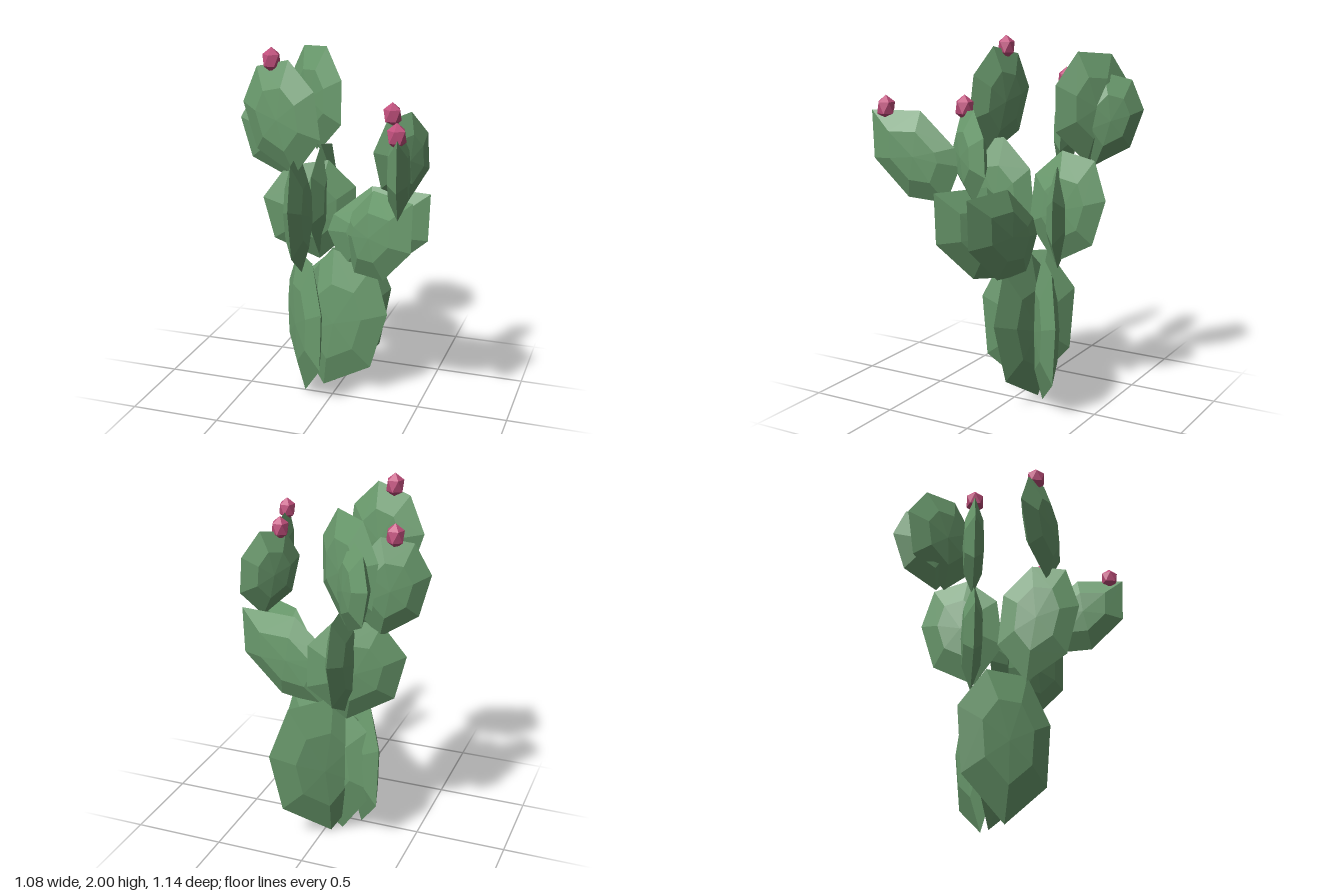
import * as THREE from 'three';

const padGreen = new THREE.MeshStandardMaterial({ color: 0x6b9c6e, flatShading: true });
padGreen.name = 'padGreen';
const fruitPink = new THREE.MeshStandardMaterial({ color: 0xc04f7c, flatShading: true });
fruitPink.name = 'fruitPink';

// Unit pad: sharp rim, raised inner ring and a peak on both faces
function padGeometry(outline) {
  const count = outline.length;
  const points = outline.map(([x, y]) => new THREE.Vector3(x, y, 0));
  const index = [];
  for (const side of [1, -1]) {
    const ring = points.length;
    const peak = ring + count;
    for (const [x, y] of outline) points.push(new THREE.Vector3(x * 0.55, y * 0.55, side * 0.85));
    points.push(new THREE.Vector3(0, 0, side));
    const face = (a, b, c) => index.push(...(side > 0 ? [a, b, c] : [a, c, b]));
    for (let i = 0; i < count; i++) {
      const j = (i + 1) % count;
      face(ring + i, i, j);
      face(ring + i, j, ring + j);
      face(peak, ring + i, ring + j);
    }
  }
  const geometry = new THREE.BufferGeometry().setFromPoints(points);
  geometry.setIndex(index);
  geometry.computeVertexNormals();
  return geometry;
}

// Upright pads stand on a tip; slanted pads spread outwards to one side
const upright = padGeometry(
  [[0, -1], [0.9, -0.47], [1, 0.35], [0.5, 0.95], [-0.4, 0.95], [-1, 0.4], [-0.9, -0.45]]);
const slanted = padGeometry(
  [[-0.65, -1], [0.2, -0.92], [0.97, -0.1], [1, 0.95], [-0.1, 0.96], [-0.85, 0.2], [-0.97, -0.2]]);

const thickness = 0.058;

// Adds a pad by centre, half width, half height, turn about y and lean in its plane (degrees)
function addPad(parent, name, geometry, centre, width, height, turn, lean) {
  const pad = new THREE.Mesh(geometry, padGreen);
  pad.name = name;
  pad.position.set(...centre);
  pad.scale.set(width, height, thickness);
  pad.rotation.set(0, THREE.MathUtils.degToRad(turn), THREE.MathUtils.degToRad(lean), 'YXZ');
  parent.add(pad);
}

// Faceted fruit with one corner straight up
function addFruit(parent, name, x, y, z) {
  const geometry = new THREE.IcosahedronGeometry(1, 0);
  geometry.rotateX(-Math.atan((1 + Math.sqrt(5)) / 2));
  geometry.scale(0.052, 0.066, 0.052);
  const fruit = new THREE.Mesh(geometry, fruitPink);
  fruit.name = name;
  fruit.position.set(x, y, z);
  parent.add(fruit);
}

export function createModel() {
  const cactus = new THREE.Group();
  cactus.name = 'cactus';

  // Base pads
  addPad(cactus, 'frontBasePad', upright, [-0.165, 0.42, 0], 0.265, 0.42, -51, 0);
  addPad(cactus, 'middleBasePad', upright, [0, 0.42, -0.09], 0.28, 0.43, -8, -12);
  addPad(cactus, 'backBasePad', upright, [0, 0.42, -0.19], 0.285, 0.42, 39, -7);

  // Middle pads
  addPad(cactus, 'leftFrontMiddlePad', slanted, [0.26, 0.995, 0.045], 0.275, 0.258, -32, 0);
  addPad(cactus, 'leftBackMiddlePad', slanted, [0.23, 0.995, -0.07], 0.305, 0.25, -7, 0);
  addPad(cactus, 'frontMiddlePad', upright, [-0.135, 1.11, 0.17], 0.21, 0.35, -84, -10);
  addPad(cactus, 'backMiddlePad', upright, [-0.14, 1.09, -0.24], 0.22, 0.32, 90, -12);
  addPad(cactus, 'rightMiddlePad', upright, [-0.18, 1.03, -0.18], 0.26, 0.29, 19, 8);

  // Top pads
  addPad(cactus, 'frontTopPad', upright, [-0.2, 1.64, 0.215], 0.225, 0.3, -14, 14);
  addPad(cactus, 'rightTopPad', upright, [-0.35, 1.49, -0.13], 0.195, 0.27, 18, 10);
  addPad(cactus, 'backTopPad', upright, [-0.21, 1.64, -0.355], 0.23, 0.3, -34, 5);
  addPad(cactus, 'rearTopPad', upright, [-0.26, 1.57, -0.425], 0.18, 0.25, -50, 15);
  addPad(cactus, 'leftInnerTopPad', upright, [0.395, 1.43, 0.03], 0.185, 0.24, 55, 10);
  addPad(cactus, 'leftOuterTopPad', slanted, [0.45, 1.42, 0.32], 0.245, 0.24, -78, 0);

  // Fruits on the upper rims
  addFruit(cactus, 'frontFruit', -0.26, 1.935, 0.2);
  addFruit(cactus, 'rightFruit', -0.37, 1.765, -0.12);
  addFruit(cactus, 'leftInnerFruit', 0.35, 1.67, 0.09);
  addFruit(cactus, 'leftOuterFruit', 0.48, 1.66, 0.485);

  return cactus;
}
